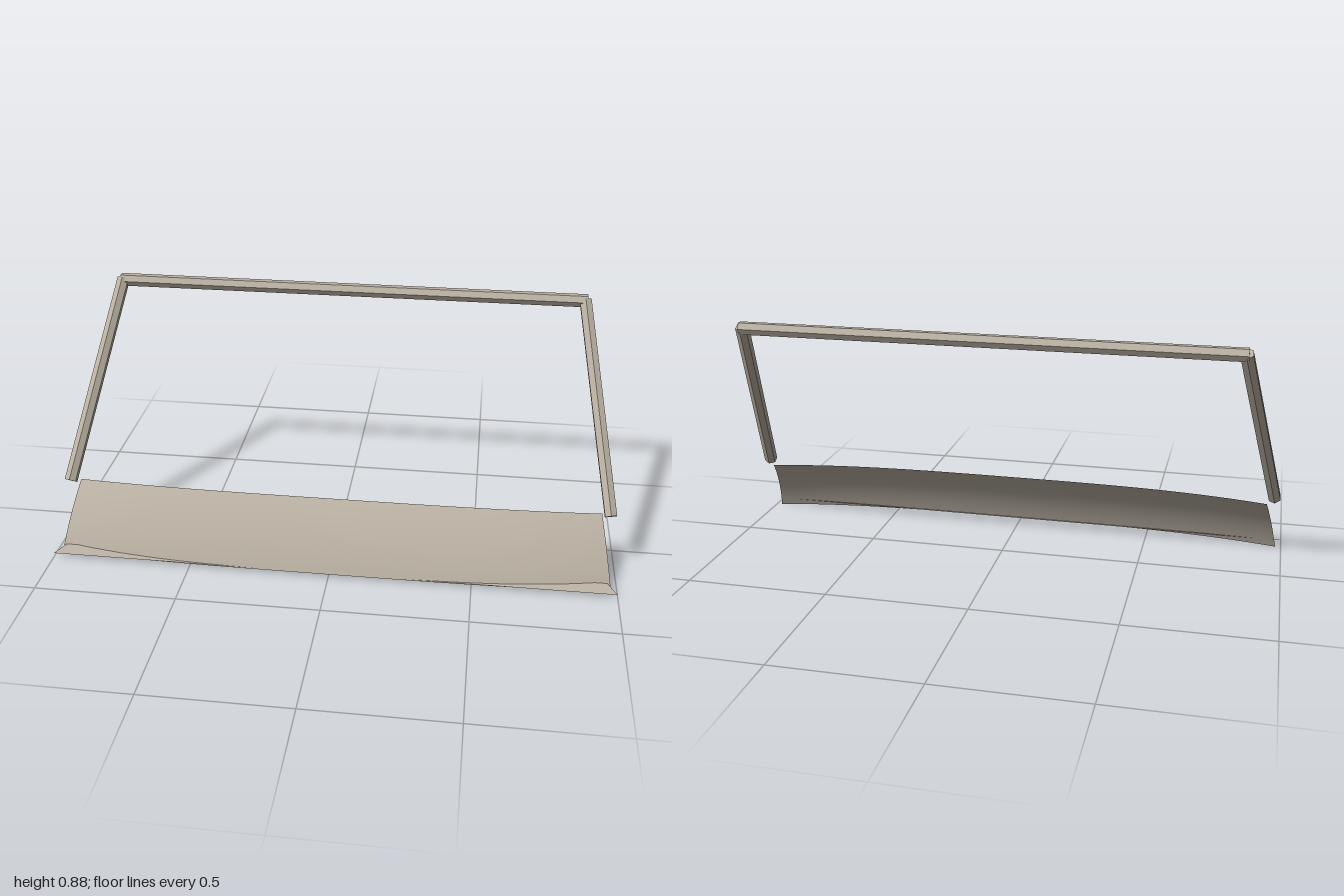
import * as THREE from 'three';

export function createModel() {
  const model = new THREE.Group();
  const paint = new THREE.MeshStandardMaterial({ color: 0xb9b0a2, side: THREE.DoubleSide });
  paint.name = 'warm grey';

  const add = (name, geometry) => {
    const mesh = new THREE.Mesh(geometry, paint);
    mesh.name = name;
    model.add(mesh);
  };

  // Hexagonal frame tube between two points, with flat-shaded sides
  const bar = (name, a, b) => {
    const dir = b.clone().sub(a);
    const geo = new THREE.CylinderGeometry(0.0235, 0.0235, dir.length(), 6).toNonIndexed();
    geo.computeVertexNormals();
    geo.applyQuaternion(new THREE.Quaternion().setFromUnitVectors(
      new THREE.Vector3(0, 1, 0), dir.normalize()));
    const mid = a.clone().add(b).multiplyScalar(0.5);
    geo.translate(mid.x, mid.y, mid.z);
    add(name, geo);
  };
  for (const [name, s] of [['leftPost', 1], ['rightPost', -1]]) {
    bar(name, new THREE.Vector3(s * 0.964, 0.234, 0.15),
      new THREE.Vector3(s * 0.842, 0.859, -0.281));
  }
  bar('topRail', new THREE.Vector3(-0.85, 0.856, -0.281), new THREE.Vector3(0.85, 0.856, -0.281));

  // Curved cowl: a bulging profile swept across the width, its ends bending back
  const profile = new THREE.QuadraticBezierCurve(
    new THREE.Vector2(0.304, 0.013), new THREE.Vector2(0.253, 0.139), new THREE.Vector2(0.155, 0.234));
  const cowl = new THREE.PlaneGeometry(2, 1, 32, 10);
  const pos = cowl.attributes.position;
  for (let i = 0; i < pos.count; i++) {
    const u = pos.getX(i), t = pos.getY(i) + 0.5;
    const p = profile.getPoint(t);
    const bend = Math.abs(u) ** 3.2;
    pos.setXYZ(i, u * (0.98 - 0.042 * t), p.y - 0.012 * bend, p.x - 0.041 * bend);
  }
  cowl.computeVertexNormals();
  add('cowl', cowl);

  // Thin straight lip under the cowl, slightly higher at its back edge
  const lip = new THREE.PlaneGeometry(2, 1);
  const lp = lip.attributes.position;
  for (let i = 0; i < lp.count; i++) {
    const s = Math.sign(lp.getX(i)), back = lp.getY(i) > 0;
    lp.setXYZ(i, s * (back ? 0.965 : 1), back ? 0.03 : 0.016, back ? 0.258 : 0.302);
  }
  lip.computeVertexNormals();
  add('lowerLip', lip);

  return model;
}
